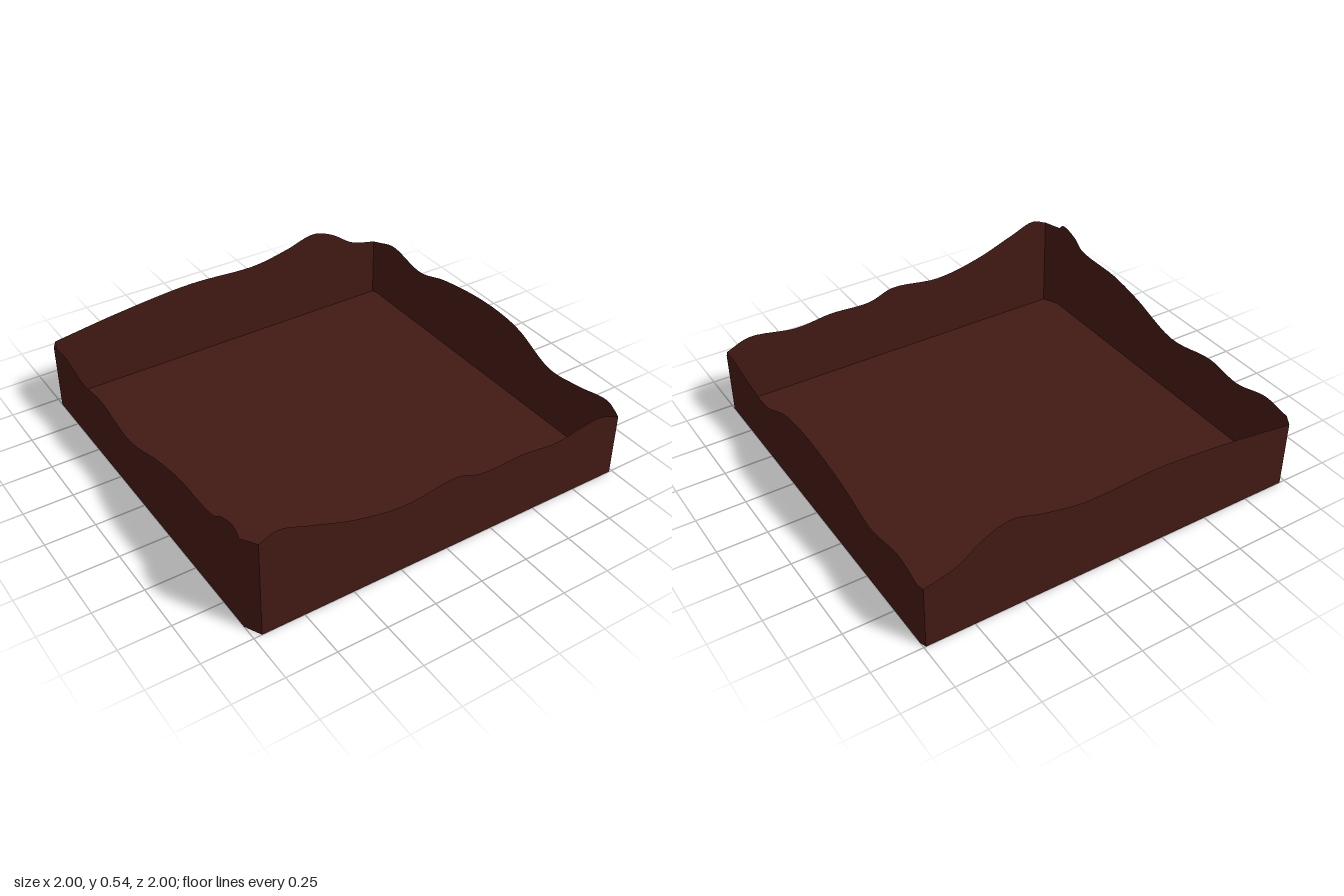
import * as THREE from 'three';

const material = new THREE.MeshStandardMaterial({ color: 0x421a15, side: THREE.DoubleSide });

// Flat upright sheet from the ground up to a line of rim points
function sheet(name, top) {
  const positions = [], index = [];
  top.forEach((p, i) => {
    positions.push(p.x, 0, p.z, p.x, p.y, p.z);
    if (i > 0) {
      const a = 2 * (i - 1);
      index.push(a, a + 2, a + 3, a, a + 3, a + 1);
    }
  });
  const geometry = new THREE.BufferGeometry();
  geometry.setAttribute('position', new THREE.Float32BufferAttribute(positions, 3));
  geometry.setIndex(index);
  geometry.computeVertexNormals();
  const mesh = new THREE.Mesh(geometry, material);
  mesh.name = name;
  return mesh;
}

// Smooth rim through [position along the wall, height] crests and dips
function rimCurve(knots, place) {
  return new THREE.CatmullRomCurve3(knots.map(([s, y]) => place(s, y))).getPoints(60);
}

export function createModel() {
  const group = new THREE.Group();
  group.name = 'wavyTray';

  // Wavy rims, counter-clockwise seen from above
  const frontRim = rimCurve([
    [-0.96, 0.505], [-0.87, 0.535], [-0.72, 0.485], [-0.5, 0.41], [-0.25, 0.368], [0.03, 0.397],
    [0.17, 0.355], [0.4, 0.36], [0.6, 0.34], [0.86, 0.375], [0.985, 0.33],
  ], (s, y) => new THREE.Vector3(s, y, 1));
  const leftRim = rimCurve([
    [0.97, 0.33], [0.91, 0.36], [0.7, 0.325], [0.5, 0.31], [0.25, 0.408],
    [0, 0.43], [-0.35, 0.39], [-0.57, 0.335], [-0.82, 0.375], [-0.97, 0.335],
  ], (s, y) => new THREE.Vector3(1, y, s));
  const backRim = rimCurve([
    [0.99, 0.33], [0.84, 0.37], [0.7, 0.46], [0.58, 0.5], [0.4, 0.455],
    [0.2, 0.42], [-0.2, 0.433], [-0.6, 0.4], [-0.97, 0.35],
  ], (s, y) => new THREE.Vector3(s, y, -1));
  const rightRim = rimCurve([
    [-0.95, 0.355], [-0.8, 0.377], [-0.6, 0.335], [-0.4, 0.36], [-0.1, 0.318],
    [0.2, 0.402], [0.4, 0.44], [0.7, 0.455], [0.77, 0.5], [0.88, 0.525], [0.92, 0.495],
  ], (s, y) => new THREE.Vector3(-1, y, s));

  // Four walls
  group.add(
    sheet('frontWall', frontRim), sheet('leftWall', leftRim),
    sheet('backWall', backRim), sheet('rightWall', rightRim),
  );

  // Narrow cut corners joining each wall to the next
  const rims = [frontRim, leftRim, backRim, rightRim];
  rims.forEach((rim, i) => {
    const next = rims[(i + 1) % rims.length];
    group.add(sheet('cutCorner', [rim[rim.length - 1], next[0]]));
  });

  // Floor outlined by the wall ends
  const outline = rims.flatMap((rim) => [rim[0], rim[rim.length - 1]]);
  const floorGeometry = new THREE.ShapeGeometry(new THREE.Shape(outline.map((p) => new THREE.Vector2(p.x, -p.z))));
  floorGeometry.rotateX(-Math.PI / 2);
  const floor = new THREE.Mesh(floorGeometry, material);
  floor.name = 'floor';
  group.add(floor);

  return group;
}
